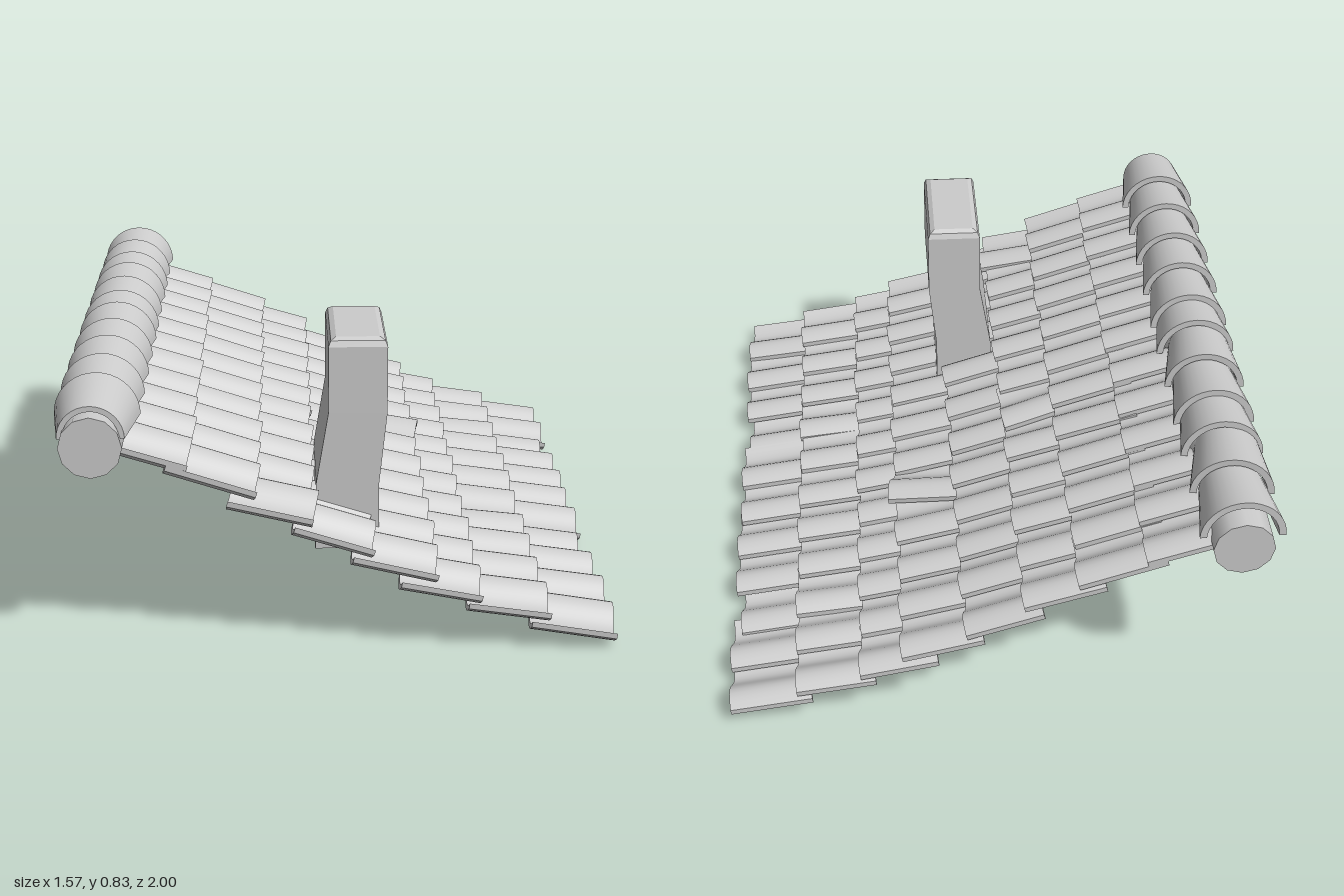
import * as THREE from 'three';
import { toCreasedNormals } from 'three/addons/utils/BufferGeometryUtils.js';

const material = new THREE.MeshStandardMaterial({ color: 0xcccccc });

function addMesh(parent, name, geometry) {
  const mesh = new THREE.Mesh(geometry, material);
  mesh.name = name;
  parent.add(mesh);
  return mesh;
}

// S-shaped tile of unit length along x, hump towards -z and trough towards +z
const TILE_W = 0.205, WAVE = 0.024, THICK = 0.016;
function tileGeometry() {
  const N = 14, upper = [], lower = [];
  for (let i = 0; i <= N; i++) {
    const v = i / N, x = TILE_W * (0.5 - v), y = WAVE * Math.sin(2 * Math.PI * v);
    upper.push(new THREE.Vector2(x, y + THICK / 2));
    lower.unshift(new THREE.Vector2(x, y - THICK / 2));
  }
  const shape = new THREE.Shape([...upper, ...lower]);
  const geo = new THREE.ExtrudeGeometry(shape, { depth: 1, bevelEnabled: false });
  geo.translate(0, 0, -0.5);
  geo.rotateY(Math.PI / 2);
  return toCreasedNormals(geo, 0.7);
}

// Tapered half-round ridge cap, wide end at z = 0
const CAP_LEN = 0.21;
function capGeometry() {
  const shape = new THREE.Shape();
  shape.absarc(0, 0, 0.12, 0, Math.PI, false);
  shape.absarc(0, 0, 0.1, Math.PI, 0, true);
  const geo = new THREE.ExtrudeGeometry(shape, { depth: CAP_LEN, bevelEnabled: false, curveSegments: 9 });
  const p = geo.attributes.position;
  for (let i = 0; i < p.count; i++) {
    const s = 1 - 0.24 * p.getZ(i) / CAP_LEN;
    p.setXY(i, p.getX(i) * s, p.getY(i) * s);
  }
  return toCreasedNormals(geo, 0.6);
}

// Bent chimney: box rows moved onto [y, left x, right x, z inset]
function chimneyGeometry() {
  const rows = [
    [0.2, -0.063, 0.12, 0], [0.4, -0.06, 0.12, 0], [0.61, -0.025, 0.142, 0],
    [0.805, -0.025, 0.142, 0], [0.822, -0.018, 0.135, 0.007], [0.83, -0.003, 0.12, 0.022],
  ];
  const n = rows.length - 1;
  const geo = new THREE.BoxGeometry(1, 1, 1, 1, n, 1);
  const p = geo.attributes.position;
  for (let i = 0; i < p.count; i++) {
    const [y, x0, x1, inset] = rows[Math.round((p.getY(i) + 0.5) * n)];
    p.setXYZ(i, p.getX(i) < 0 ? x0 : x1, y, 0.52 + Math.sign(p.getZ(i)) * (0.18 - inset));
  }
  return toCreasedNormals(geo, 0.3);
}

export function createModel() {
  const model = new THREE.Group();
  model.name = 'tiledRoof';

  // Courses from ridge to eave: [x start, top y, x end, top y]
  const courses = [
    [-0.61, 0.645, -0.41, 0.583], [-0.47, 0.585, -0.225, 0.505],
    [-0.3, 0.497, -0.07, 0.43], [-0.125, 0.402, 0.095, 0.332],
    [0.04, 0.312, 0.275, 0.256], [0.17, 0.236, 0.395, 0.192],
    [0.355, 0.17, 0.585, 0.137], [0.54, 0.11, 0.778, 0.075],
  ];
  const rowStarts = [-0.97, -0.8, -0.64, -0.47, -0.3, -0.135, 0.045, 0.23, 0.41, 0.59, 0.77];
  // Slipped tiles, keyed course_row: [turn about y, tilt, dx, dy]
  const slipped = {
    '4_4': [-0.15, 0.1, 0.01, 0], '2_5': [0.07, -0.02, 0, 0], '2_10': [-0.08, 0.08, 0, -0.012],
    '6_7': [0, 0.03, 0, -0.012], '6_2': [0, 0.03, 0, -0.008], '7_2': [0, 0, -0.02, -0.011],
    '7_7': [0, 0, -0.02, -0.011], '1_4': [-0.03, 0, 0.005, 0], '7_10': [-0.04, 0, 0, 0],
  };
  const tiles = new THREE.Group();
  tiles.name = 'roofTiles';
  model.add(tiles);
  const tileGeo = tileGeometry();
  courses.forEach(([x0, y0, x1, y1], c) => rowStarts.forEach((z, r) => {
    const [turn, tilt, dx, dy] = slipped[`${c}_${r}`] || [0, 0, 0, 0];
    const tile = addMesh(tiles, 'roofTile', tileGeo);
    const sag = 0.003 * Math.sin(r * 2.3 + c * 1.7);
    tile.position.set((x0 + x1) / 2 + dx + sag, (y0 + y1) / 2 - WAVE - THICK / 2 + dy, z + TILE_W / 2);
    tile.rotation.set(0, turn, Math.atan2(y1 - y0, x1 - x0) + tilt);
    tile.scale.x = Math.hypot(x1 - x0, y1 - y0);
  }));

  // Ridge beam
  const beamGeo = new THREE.CylinderGeometry(0.086, 0.086, 2, 12);
  beamGeo.rotateX(Math.PI / 2);
  addMesh(model, 'ridgeBeam', toCreasedNormals(beamGeo, 0.6)).position.set(-0.668, 0.62, 0);

  // Ridge caps, a few knocked askew
  const ridge = new THREE.Group();
  ridge.name = 'ridgeCaps';
  model.add(ridge);
  const capGeo = capGeometry();
  const capStarts = [-0.97, -0.785, -0.61, -0.46, -0.28, -0.1, 0.04, 0.225, 0.405, 0.59, 0.77];
  const capTurns = { 1: -0.08, 4: -0.06 };
  capStarts.forEach((z, i) => {
    const cap = addMesh(ridge, 'ridgeCap', capGeo);
    cap.position.set(-0.667, 0.64, z);
    cap.rotation.y = capTurns[i] || 0;
  });

  addMesh(model, 'chimney', chimneyGeometry());
  return model;
}
